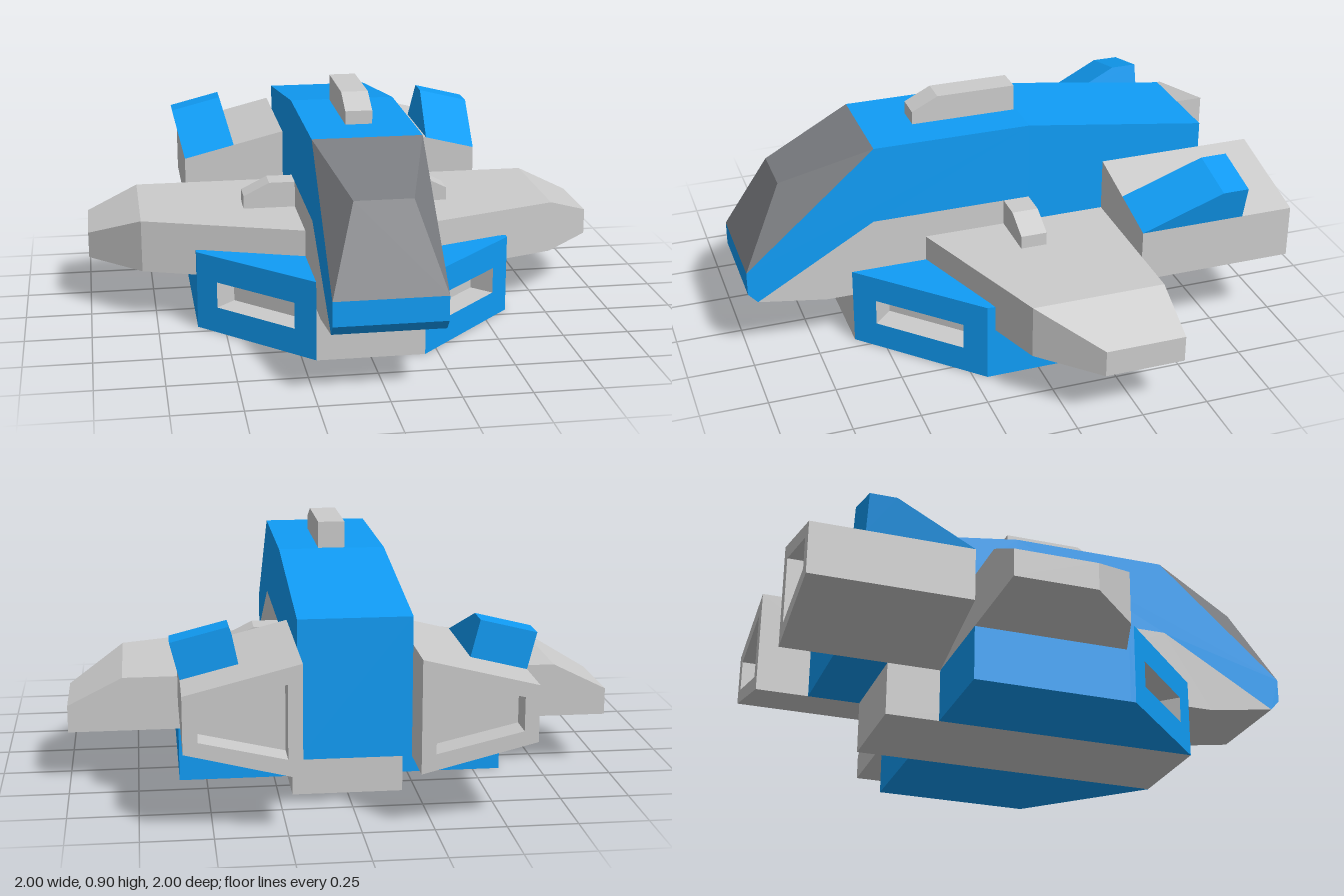
import * as THREE from 'three';
import { ConvexGeometry } from 'three/addons/geometries/ConvexGeometry.js';

const mat = (color) => new THREE.MeshStandardMaterial({ color, flatShading: true });
const GREY = mat(0xcccccc), BLUE = mat(0x109cf5), DARK = mat(0x7a7c80);

function add(parent, name, geometry, material) {
  const mesh = new THREE.Mesh(geometry, material);
  mesh.name = name;
  parent.add(mesh);
  return mesh;
}

// Side profile of [z, y] points, extruded across x and centred on it
function sideProfile(points, width) {
  const shape = new THREE.Shape(points.map(([z, y]) => new THREE.Vector2(z, y)));
  return new THREE.ExtrudeGeometry(shape, { depth: width, bevelEnabled: false })
    .translate(0, 0, -width / 2)
    .rotateY(-Math.PI / 2);
}

// Convex solid around [x, y, z] points; s = -1 mirrors it
const solid = (points, s = 1) =>
  new ConvexGeometry(points.map(([x, y, z]) => new THREE.Vector3(s * x, y, z)));

// Four-sided rings joined one after another, with optional end caps
function bands(rings, { s = 1, flip = false, startCap = false, endCap = false }) {
  const pos = [];
  const quad = (a, b, c, d) => {
    const order = flip ? [a, c, b, a, d, c] : [a, b, c, a, c, d];
    for (const [x, y, z] of order) pos.push(s * x, y, z);
  };
  for (let i = 0; i + 1 < rings.length; i++) {
    const p = rings[i], q = rings[i + 1];
    for (let j = 0; j < 4; j++) {
      const k = (j + 1) % 4;
      quad(p[j], q[j], q[k], p[k]);
    }
  }
  if (startCap) quad(...rings[0]);
  if (endCap) quad(...rings[rings.length - 1].slice().reverse());
  const g = new THREE.BufferGeometry();
  g.setAttribute('position', new THREE.Float32BufferAttribute(pos, 3));
  g.computeVertexNormals();
  return g;
}

function buildWing(parent, s) {
  const points = [];
  for (const [x, z, top] of [[0.2, 0.31, 0.4], [0.8, 0.1, 0.4], [1, -0.1, 0.3], [1, -0.4, 0.3], [0.8, -0.4, 0.4], [0.2, -0.4, 0.4]]) {
    points.push([x, 0.2, z], [x, top, z]);
  }
  add(parent, 'wing', solid(points, s), GREY);

  // Small block at the wing root
  const block = [];
  for (const z of [0, -0.1]) {
    for (const [x, y] of [[0.2, 0.4], [0.4, 0.4], [0.4, 0.45], [0.3, 0.5], [0.2, 0.5]]) block.push([x, y, z]);
  }
  add(parent, 'wingRootBlock', solid(block, s), GREY);
}

function buildIntake(parent, s) {
  // Ring on the slanted front plane x + z = 0.8, pushed inward by depth d
  const slanted = (x0, x1, y0, y1, d) =>
    [[x0, y0], [x1, y0], [x1, y1], [x0, y1]].map(([x, y]) => [x - d, y, 0.8 - x - d]);
  const straight = (top, z) => [[0.2, 0, z], [0.6, 0, z], [0.6, top, z], [0.2, top, z]];
  const hole = slanted(0.27, 0.53, 0.1, 0.2, 0);
  const flip = s < 0;
  add(parent, 'intake', bands(
    [hole, slanted(0.2, 0.6, 0, 0.3, 0), straight(0.3, 0.18), straight(0.2, -0.4)],
    { s, flip, endCap: true }), BLUE);
  add(parent, 'intakeRecess', bands(
    [slanted(0.27, 0.53, 0.1, 0.2, 0.07), hole], { s, flip, startCap: true }), GREY);
}

function buildEngine(parent, s) {
  // Tapered section, taller on the inner side
  const outer = (z) => [[0.2, 0.2, z], [0.6, 0.3, z], [0.6, 0.5, z], [0.2, 0.6, z]];
  const inner = (z) => [[0.25, 0.27, z], [0.55, 0.34, z], [0.55, 0.46, z], [0.25, 0.53, z]];
  add(parent, 'engine', bands(
    [inner(-0.9), inner(-1), outer(-1), outer(-0.4)],
    { s, flip: s > 0, startCap: true, endCap: true }), GREY);

  // Wedge standing square on the sloped engine top
  const points = [];
  for (const [z, h] of [[-0.4, 0], [-0.7, 0.135], [-0.8, 0.135], [-0.8, 0]]) {
    for (const [x, y] of [[0.4, 0.55], [0.6, 0.5]]) points.push([x + 0.243 * h, y + 0.97 * h, z]);
  }
  add(parent, 'engineWedge', solid(points, s), BLUE);
}

export function createModel() {
  const model = new THREE.Group();
  model.name = 'spacecraft';

  // Fuselage: blue upper shell and grey lower nose share one width
  add(model, 'fuselage', sideProfile([
    [0.995, 0.37], [0.5, 0.8], [-0.1, 0.8], [-0.8, 0.7], [-0.8, 0.2],
    [-0.1, 0.2], [-0.1, 0.5], [0.51, 0.5], [0.96, 0.24], [0.995, 0.28],
  ], 0.4), BLUE);
  add(model, 'lowerNose', sideProfile([
    [0.51, 0.5], [-0.1, 0.5], [-0.1, 0.2], [0.7, 0.2], [0.96, 0.24],
  ], 0.4), GREY);

  // Faceted canopy
  const canopy = [];
  for (const x of [-1, 1]) canopy.push([x * 0.2, 0.8, 0.5], [x * 0.2, 0.37, 0.995], [x * 0.105, 0.67, 0.84]);
  add(model, 'canopy', solid(canopy), DARK);

  add(model, 'dorsalBlock', sideProfile([
    [0.31, 0.79], [0.31, 0.85], [0.21, 0.9], [-0.09, 0.9], [-0.09, 0.79],
  ], 0.1), GREY);

  // Belly between the intakes
  add(model, 'belly', new THREE.BoxGeometry(0.4, 0.2, 1.2).translate(0, 0.1, 0), GREY);

  for (const s of [1, -1]) {
    const side = new THREE.Group();
    side.name = s > 0 ? 'leftSide' : 'rightSide';
    buildWing(side, s);
    buildIntake(side, s);
    buildEngine(side, s);
    model.add(side);
  }
  return model;
}
